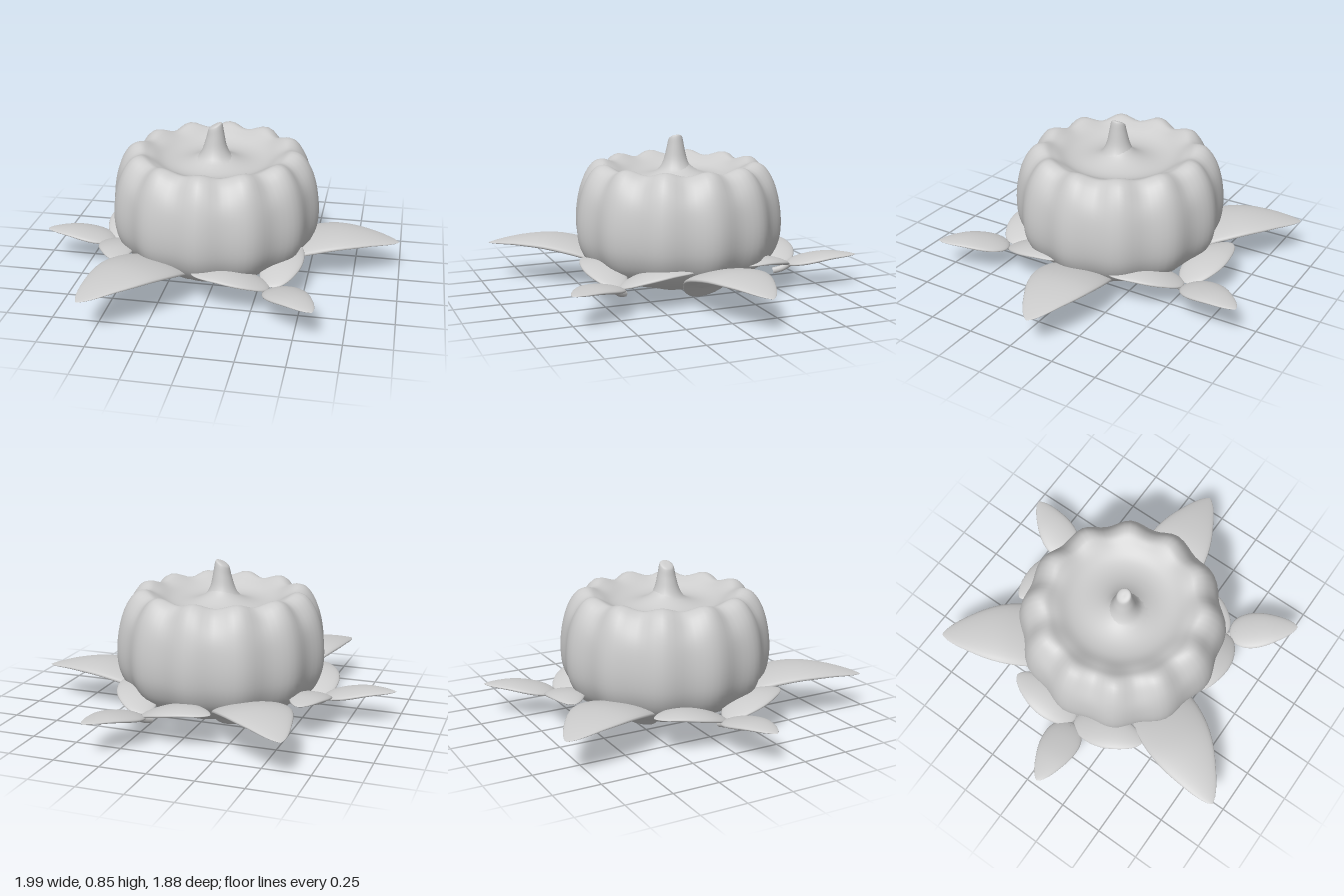
import * as THREE from 'three';
import { mergeVertices } from 'three/addons/utils/BufferGeometryUtils.js';

const material = new THREE.MeshStandardMaterial({ color: 0xcccccc });
const V2 = (p) => new THREE.Vector2(p[0], p[1]);

// Apply a rule to every vertex, weld the seam and smooth the normals.
function reshape(geometry, rule) {
  const pos = geometry.attributes.position;
  const v = new THREE.Vector3();
  for (let i = 0; i < pos.count; i++) {
    v.fromBufferAttribute(pos, i);
    rule(v);
    pos.setXYZ(i, v.x, v.y, v.z);
  }
  geometry.deleteAttribute('uv');
  geometry.deleteAttribute('normal');
  const welded = mergeVertices(geometry, 1e-5);
  welded.computeVertexNormals();
  return welded;
}

function add(parent, name, geometry) {
  const mesh = new THREE.Mesh(geometry, material);
  mesh.name = name;
  parent.add(mesh);
  return mesh;
}

// Softly ribbed body: a lathe with twelve shallow lobes, open underneath.
function bodyGeometry() {
  const profile = new THREE.SplineCurve([
    [0.13, 0.018], [0.24, 0.035], [0.38, 0.08], [0.5, 0.155], [0.56, 0.25], [0.578, 0.36],
    [0.567, 0.49], [0.533, 0.61], [0.48, 0.69], [0.42, 0.71], [0.36, 0.68],
    [0.29, 0.64], [0.22, 0.628], [0.15, 0.64], [0.09, 0.67], [0.05, 0.71],
  ].map(V2));
  return reshape(new THREE.LatheGeometry(profile.getPoints(60), 96), (v) => {
    const groove = (1 - Math.cos(12 * Math.atan2(v.x, v.z))) / 2;
    const r = Math.hypot(v.x, v.z);
    const high = THREE.MathUtils.smoothstep(v.y, 0.5, 0.68);
    const outer = THREE.MathUtils.smoothstep(r, 0.3, 0.48);
    const k = 1 - 0.045 * groove * (high > 0 ? outer : 1);
    v.x *= k;
    v.z *= k;
    v.y -= 0.035 * groove * high * outer;
  });
}

// Tapered stem with a flared foot and slanted top.
function stemGeometry() {
  const profile = new THREE.SplineCurve([
    [0.16, 0.632], [0.1, 0.66], [0.068, 0.71], [0.05, 0.78], [0.041, 0.825],
    [0.034, 0.84], [0.018, 0.845], [0, 0.845],
  ].map(V2));
  return reshape(new THREE.LatheGeometry(profile.getPoints(28), 20), (v) => {
    v.y += v.x * 0.5 * THREE.MathUtils.smoothstep(v.y, 0.72, 0.84);
  });
}

// Pointed lens-shaped leaf along +x; spine gives its (x, y) centre line.
function leafGeometry(spine, width, thick, cup, a, b) {
  const curve = new THREE.SplineCurve(spine.map(V2));
  const peak = Math.pow(a / (a + b), a) * Math.pow(b / (a + b), b);
  const sphere = new THREE.SphereGeometry(1, 28, 26).rotateZ(-Math.PI / 2);
  return reshape(sphere, (v) => {
    const t = THREE.MathUtils.clamp((1 + v.x) / 2, 0, 1);
    const s = Math.hypot(v.y, v.z) || 1;
    const shape = t > 0 && t < 1 ? Math.pow(t, a) * Math.pow(1 - t, b) / peak : 0;
    const c = curve.getPoint(t);
    const side = (v.z / s) * shape * width / 2;
    v.set(c.x, c.y + (v.y / s) * shape * thick / 2 + cup * side * side, side);
  });
}

export function createModel() {
  const model = new THREE.Group();
  model.name = 'pumpkinWithLeaves';
  const plant = new THREE.Group();
  plant.name = 'pumpkin';
  plant.position.set(-0.035, 0, -0.02);
  model.add(plant);

  add(plant, 'ribbedBody', bodyGeometry());
  add(plant, 'stem', stemGeometry()).position.z = 0.012;

  const bigLeaf = leafGeometry(
    [[0.28, 0.005], [0.42, 0.14], [0.64, 0.205], [0.84, 0.21], [1.03, 0.185]], 0.38, 0.065, -0.2, 0.65, 0.95);
  const middleLeaflet = leafGeometry(
    [[0, 0], [0.1, 0.025], [0.24, 0.05], [0.39, 0.055]], 0.215, 0.045, -0.4, 0.65, 0.9);
  const sideLeaflet = leafGeometry(
    [[0, 0], [0.13, 0.045], [0.27, 0.07], [0.41, 0.07]], 0.215, 0.045, -0.4, 0.65, 0.8);
  const stalk = new THREE.TubeGeometry(new THREE.CatmullRomCurve3([
    new THREE.Vector3(-0.06, -0.045, 0), new THREE.Vector3(-0.01, -0.03, 0),
    new THREE.Vector3(0.05, 0.01, 0),
  ]), 8, 0.018, 8);

  const rad = THREE.MathUtils.degToRad;

  // Large single leaves: angle, length factor, lift
  for (const [angle, scale, lift] of [[4.5, 1, 0], [125, 1.01, 0.015], [241.8, 1.06, 0.03]]) {
    const big = add(plant, 'largeLeaf', bigLeaf);
    big.rotation.y = rad(angle);
    big.scale.x = scale;
    big.position.y = lift;
  }

  // Three-part leaves: angle, base radius, spread of the two side leaflets
  const sprigs = [[66, 0.6, 102, 122], [186, 0.565, 98, 98], [308.4, 0.615, 128, 120]];
  for (const [degrees, radius, spreadA, spreadB] of sprigs) {
    const angle = rad(degrees);
    const sprig = new THREE.Group();
    sprig.name = 'threePartLeaf';
    sprig.position.set(radius * Math.cos(angle), 0.13, -radius * Math.sin(angle));
    sprig.rotation.y = angle;
    plant.add(sprig);
    add(sprig, 'leafStalk', stalk);
    add(sprig, 'middleLeaflet', middleLeaflet).position.x = 0.01;
    for (const spread of [spreadA, -spreadB]) {
      const side = add(sprig, 'sideLeaflet', sideLeaflet);
      side.position.x = -0.01;
      side.rotation.y = rad(spread);
    }
  }
  return model;
}
